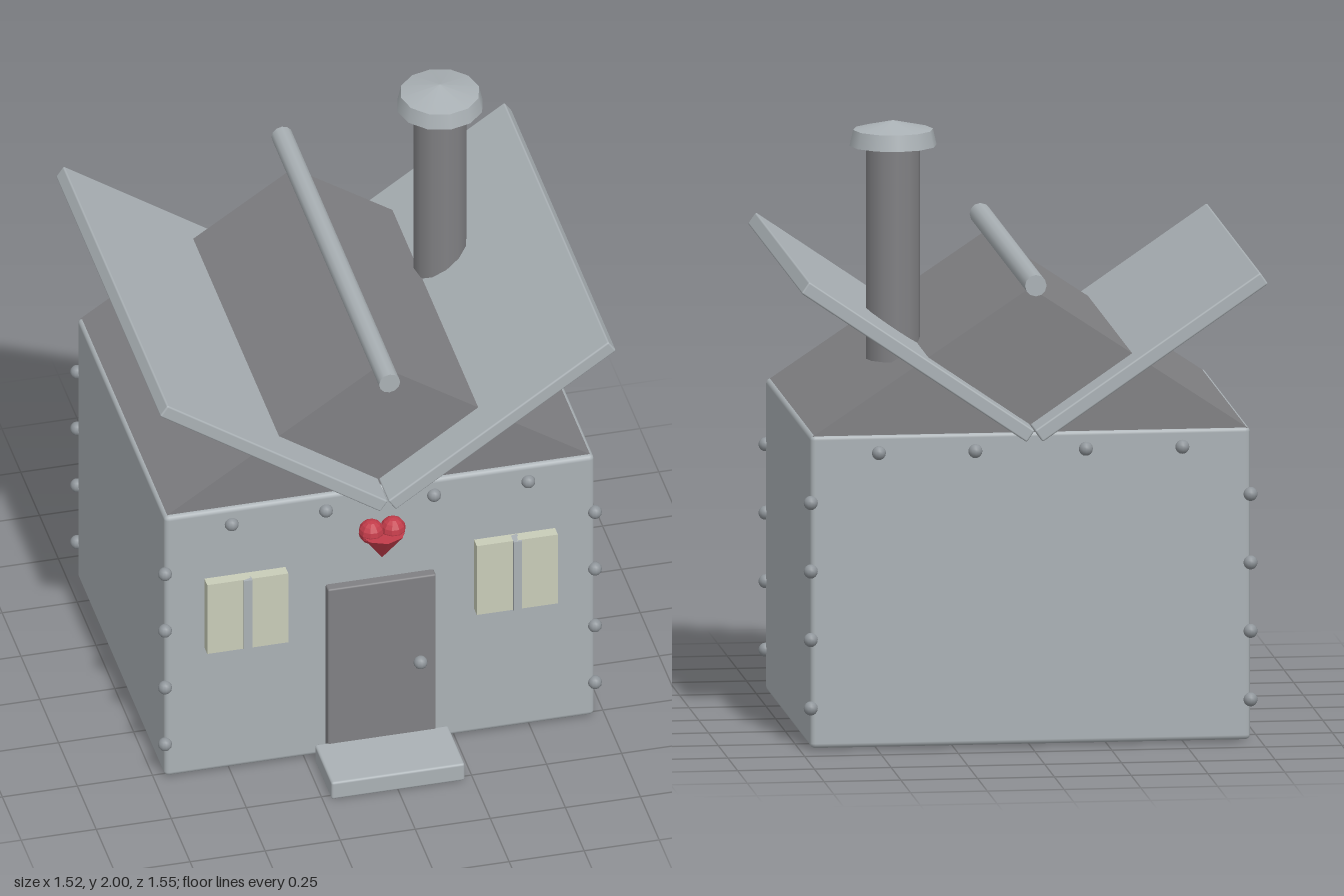
import * as THREE from 'three';
import { RoundedBoxGeometry } from 'three/addons/geometries/RoundedBoxGeometry.js';

const material = (name, color, flatShading = false) => {
  const m = new THREE.MeshStandardMaterial({ color });
  m.name = name;
  m.flatShading = flatShading;
  return m;
};

export function createModel() {
  const house = new THREE.Group();
  house.name = 'house';

  const lightMetal = material('light metal', 0xaab1b5);
  const darkMetal = material('dark metal', 0x808083);
  const rivetMetal = material('rivet metal', 0x8f959a);
  const paneGlass = material('pale glass', 0xc8ccb8);
  const heartRed = material('heart red', 0xc23c4a, true);

  const add = (name, geometry, mat, x = 0, y = 0, z = 0) => {
    const mesh = new THREE.Mesh(geometry, mat);
    mesh.name = name;
    mesh.position.set(x, y, z);
    house.add(mesh);
    return mesh;
  };
  // Box given by its lower and upper limits, with softened edges if r > 0
  const box = (name, mat, [x0, y0, z0], [x1, y1, z1], r = 0) => {
    const size = [x1 - x0, y1 - y0, z1 - z0];
    const geometry = r ? new RoundedBoxGeometry(...size, 2, r) : new THREE.BoxGeometry(...size);
    return add(name, geometry, mat, (x0 + x1) / 2, (y0 + y1) / 2, (z0 + z1) / 2);
  };

  const halfWidth = 0.716, front = 0.528, back = -0.634, eaves = 1.03;
  const midZ = (front + back) / 2;

  // Walls
  box('walls', lightMetal, [-halfWidth, 0.005, back], [halfWidth, eaves, front], 0.016);

  // Attic prism
  const gable = new THREE.Shape([
    new THREE.Vector2(-0.71, eaves - 0.005),
    new THREE.Vector2(0.71, eaves - 0.005),
    new THREE.Vector2(0, 1.5),
  ]);
  add('attic', new THREE.ExtrudeGeometry(gable, { depth: 1.14, bevelEnabled: false }),
    darkMetal, 0, 0, -0.627);

  // Roof panels rising outwards, and the ridge pole
  for (const side of [-1, 1]) {
    const panel = add(side > 0 ? 'leftRoofPanel' : 'rightRoofPanel',
      new RoundedBoxGeometry(0.89, 0.046, 1.388, 2, 0.006),
      lightMetal, side * 0.38, 1.283, midZ);
    panel.rotation.z = side * 0.6;
  }
  add('ridgePole', new THREE.CylinderGeometry(0.035, 0.035, 1.432, 12), lightMetal, 0, 1.53, -0.056)
    .rotation.x = Math.PI / 2;

  // Chimney with its cap
  const chimneyX = 0.403, chimneyZ = -0.28;
  add('chimney', new THREE.CylinderGeometry(0.088, 0.088, 0.72, 12), darkMetal, chimneyX, 1.58, chimneyZ);
  add('chimneyCapRim', new THREE.CylinderGeometry(0.13, 0.142, 0.052, 12), lightMetal, chimneyX, 1.944, chimneyZ);
  add('chimneyCapTop', new THREE.ConeGeometry(0.13, 0.03, 12), lightMetal, chimneyX, 1.985, chimneyZ);

  // Door, knob and doorstep
  box('door', darkMetal, [-0.18, 0.005, 0.5], [0.18, 0.675, 0.56], 0.006);
  add('doorKnob', new THREE.SphereGeometry(0.023, 12, 8), rivetMetal, 0.126, 0.342, 0.567);
  box('doorstep', lightMetal, [-0.222, 0, 0.55], [0.222, 0.066, 0.775], 0.008);

  // Windows with a central bar
  for (const side of [-1, 1]) {
    const x = side * 0.449;
    box('windowPane', paneGlass, [x - 0.135, 0.496, 0.51], [x + 0.135, 0.768, 0.566]);
    box('windowBar', lightMetal, [x - 0.014, 0.496, 0.51], [x + 0.014, 0.768, 0.574]);
  }

  // Heart made of a cone and two lobes
  add('heartPoint', new THREE.ConeGeometry(0.078, 0.105, 8), heartRed, 0, 0.827, 0.56).rotation.x = Math.PI;
  for (const side of [-1, 1])
    add('heartLobe', new THREE.SphereGeometry(0.042, 10, 8), heartRed, side * 0.036, 0.883, 0.56);

  // Rivets along the corners and under the eaves
  const rivet = new THREE.SphereGeometry(0.023, 12, 8);
  for (const z of [front + 0.003, back - 0.003]) {
    for (const side of [-1, 1]) {
      for (let i = 0; i < 4; i++)
        add('cornerRivet', rivet, rivetMetal, side * halfWidth, 0.138 + i * 0.2243, z);
      for (const x of [0.18, 0.494])
        add('eavesRivet', rivet, rivetMetal, side * x, 0.97, z);
    }
  }

  return house;
}
